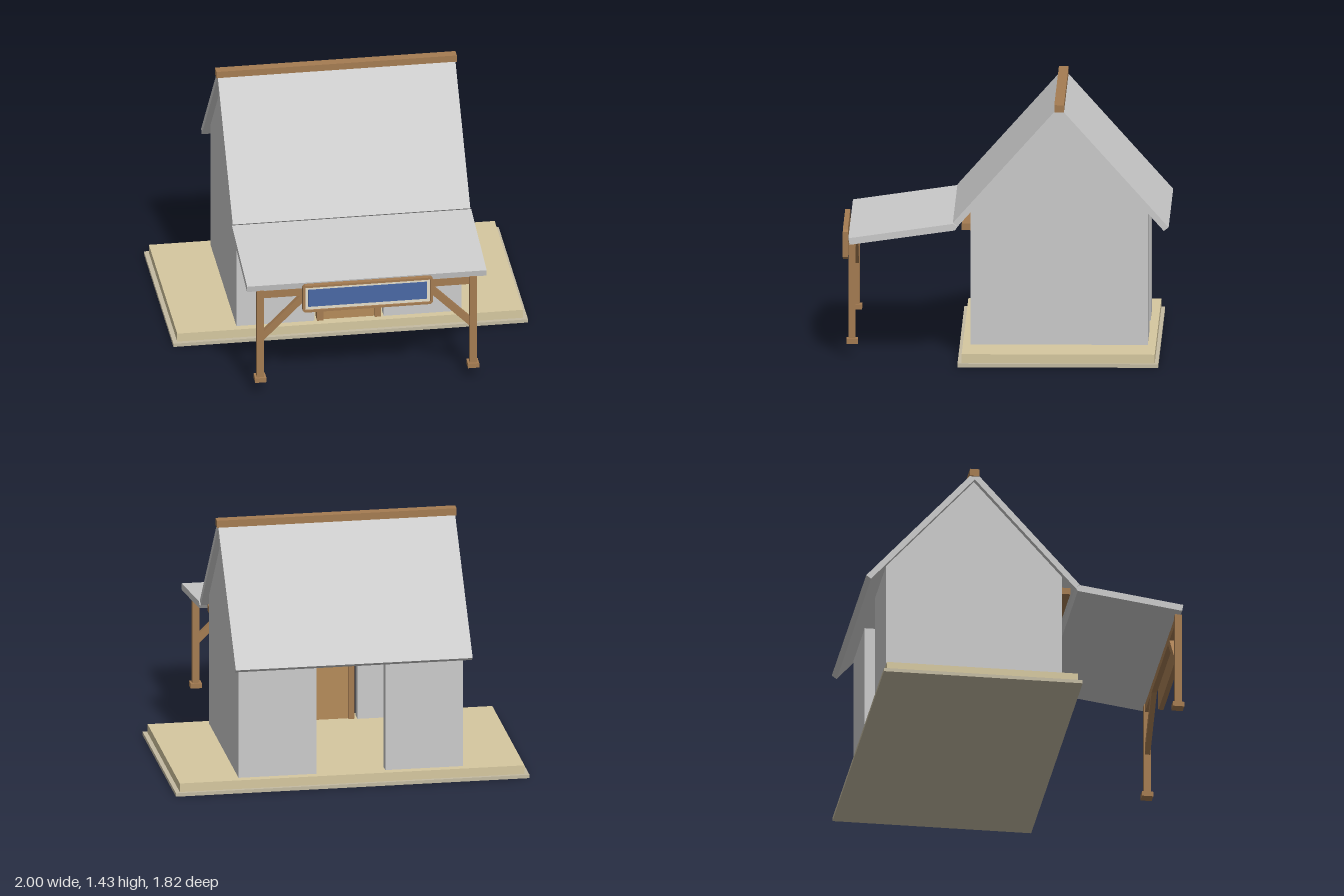
import * as THREE from 'three';

const paint = (color) => new THREE.MeshStandardMaterial({ color });
const GREY = paint(0xcccccc);
const WOOD = paint(0xa57c52);
const DOOR = paint(0xb58c5a);
const FLOOR = paint(0xd6c8a0);
const EDGE = paint(0xc4bba2);
const CREAM = paint(0xe6dfcb);
const BLUE = paint(0x4a68a5);

export function createModel() {
  const model = new THREE.Group();

  const add = (name, geometry, material) => {
    const mesh = new THREE.Mesh(geometry, material);
    mesh.name = name;
    model.add(mesh);
    return mesh;
  };

  // Box given by its limits on each axis
  const box = (name, material, [x0, x1], [y0, y1], [z0, z1]) => {
    const mesh = add(name, new THREE.BoxGeometry(x1 - x0, y1 - y0, z1 - z0), material);
    mesh.position.set((x0 + x1) / 2, (y0 + y1) / 2, (z0 + z1) / 2);
    return mesh;
  };

  // Same box on the left (+x) and right (-x) side
  const pair = (name, material, [x0, x1], y, z) => {
    box(name + 'Left', material, [x0, x1], y, z);
    box(name + 'Right', material, [-x1, -x0], y, z);
  };

  // Side profile of [z, y] points, extruded along x between two limits
  const profile = (name, material, points, x0, x1) => {
    const shape = new THREE.Shape(points.map(([z, y]) => new THREE.Vector2(z, y)));
    const geometry = new THREE.ExtrudeGeometry(shape, { depth: x1 - x0, bevelEnabled: false });
    geometry.rotateY(-Math.PI / 2).translate(x1, 0, 0);
    return add(name, geometry, material);
  };

  // Stepped foundation
  box('foundationEdge', EDGE, [-1, 1], [0, 0.02], [-0.86, 0.26]);
  box('foundationFloor', FLOOR, [-0.975, 0.975], [0.02, 0.07], [-0.84, 0.237]);

  // Gable walls
  const gable = [[-0.795, 0.07], [0.195, 0.07], [0.195, 0.82], [-0.3, 1.37], [-0.795, 0.82]];
  profile('gableWallLeft', GREY, gable, 0.575, 0.635);
  profile('gableWallRight', GREY, gable, -0.635, -0.575);

  // Front and back walls, each open in the middle
  pair('frontWall', GREY, [0.195, 0.575], [0.07, 0.82], [0.135, 0.195]);
  pair('backWall', GREY, [0.195, 0.575], [0.07, 0.82], [-0.795, -0.735]);

  // Inner corner posts
  pair('innerPost', WOOD, [0.525, 0.575], [0.07, 0.82], [0.085, 0.135]);

  // Door with its frame and knob
  pair('doorJamb', WOOD, [0.145, 0.18], [0.07, 0.62], [0.14, 0.2]);
  box('doorHeader', WOOD, [-0.18, 0.18], [0.62, 0.655], [0.14, 0.2]);
  box('door', DOOR, [-0.145, 0.145], [0.07, 0.62], [0.155, 0.185]);
  box('doorKnob', BLUE, [0.075, 0.093], [0.36, 0.378], [0.185, 0.2]);

  // Main roof slopes, porch roof and ridge beam
  profile('frontRoof', GREY,
    [[-0.3, 1.37], [0.265, 0.742], [0.292, 0.762], [-0.3, 1.42]], -0.67, 0.67);
  profile('backRoof', GREY,
    [[-0.3, 1.42], [-0.912, 0.74], [-0.885, 0.72], [-0.3, 1.37]], -0.67, 0.67);
  profile('porchRoof', GREY,
    [[0.28, 0.72], [0.868, 0.637], [0.875, 0.674], [0.292, 0.757], [0.265, 0.742]], -0.675, 0.675);
  box('ridgeBeam', WOOD, [-0.678, 0.678], [1.388, 1.43], [-0.328, -0.274]);
  box('ledgerBeam', WOOD, [-0.635, 0.635], [0.715, 0.753], [0.195, 0.243]);

  // Porch posts with feet, and the beam they carry
  pair('porchPost', WOOD, [0.58, 0.62], [0.07, 0.64], [0.836, 0.874]);
  pair('postFoot', WOOD, [0.568, 0.632], [0.07, 0.098], [0.822, 0.886]);
  box('porchBeam', WOOD, [-0.58, 0.58], [0.592, 0.637], [0.84, 0.87]);

  // Diagonal braces
  for (const side of [1, -1]) {
    const points = [[0.585, 0.325], [0.585, 0.38], [0.37, 0.595], [0.315, 0.595]];
    const shape = new THREE.Shape(points.map(([x, y]) => new THREE.Vector2(side * x, y)));
    const geometry = new THREE.ExtrudeGeometry(shape, { depth: 0.03, bevelEnabled: false });
    add(side > 0 ? 'braceLeft' : 'braceRight', geometry, WOOD).position.z = 0.84;
  }

  // Blank sign board with a raised rim
  const rim = new THREE.Shape();
  const chamfer = 0.012;
  const [w, bottom, top] = [0.367, 0.505, 0.672];
  rim.moveTo(-w + chamfer, bottom).lineTo(w - chamfer, bottom).lineTo(w, bottom + chamfer);
  rim.lineTo(w, top - chamfer).lineTo(w - chamfer, top).lineTo(-w + chamfer, top);
  rim.lineTo(-w, top - chamfer).lineTo(-w, bottom + chamfer).closePath();
  const hole = new THREE.Path();
  hole.moveTo(-0.353, 0.518).lineTo(-0.353, 0.659).lineTo(0.353, 0.659).lineTo(0.353, 0.518).closePath();
  rim.holes.push(hole);
  add('signRim', new THREE.ExtrudeGeometry(rim, { depth: 0.028, bevelEnabled: false }), WOOD).position.z = 0.884;
  box('signBack', WOOD, [-0.353, 0.353], [0.518, 0.659], [0.884, 0.894]);
  box('signBorder', CREAM, [-0.353, 0.353], [0.518, 0.659], [0.894, 0.902]);
  box('signPanel', BLUE, [-0.335, 0.335], [0.537, 0.643], [0.902, 0.906]);

  return model;
}
